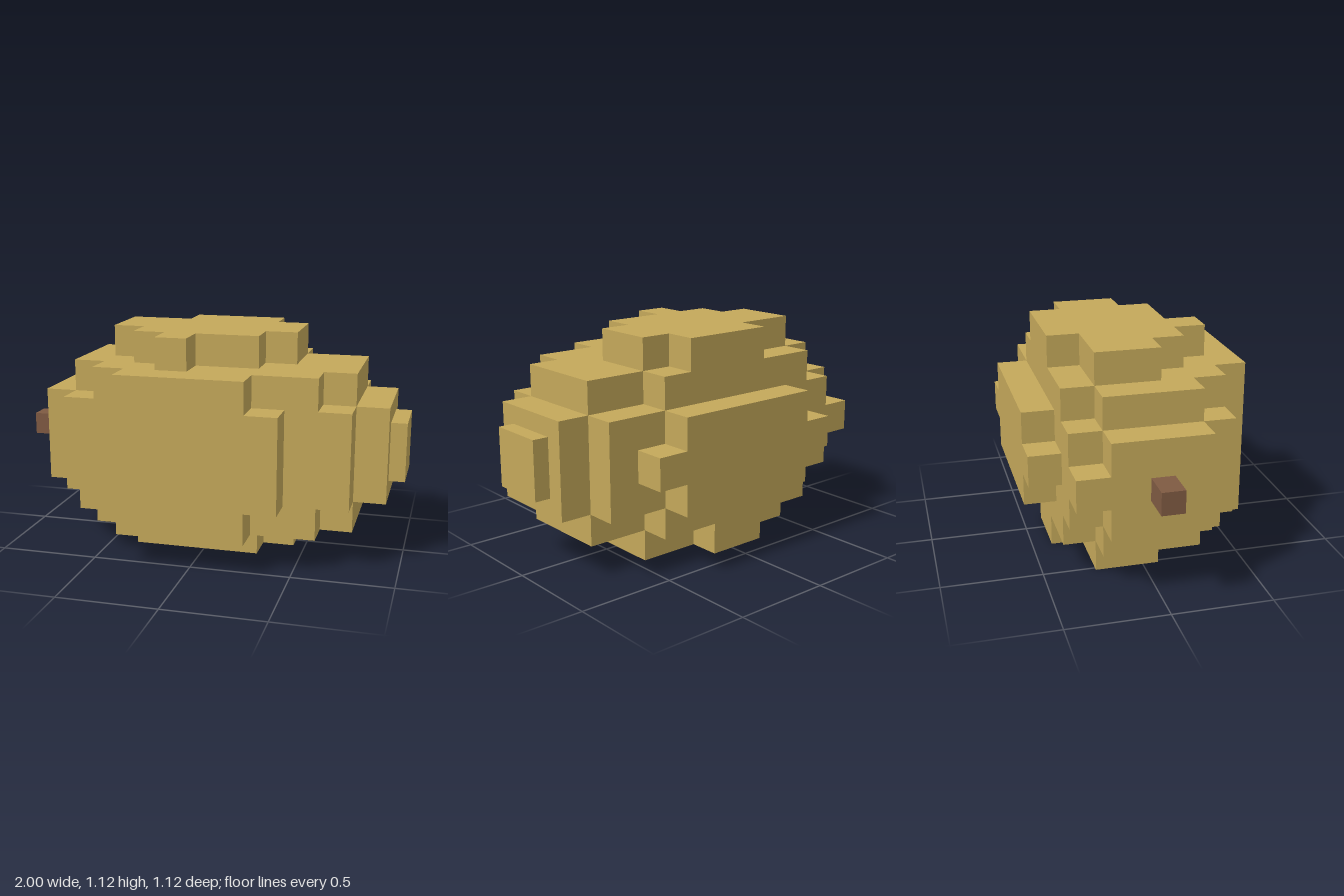
import * as THREE from 'three';

const CELL = 0.16;
const SIZE = [11, 7, 7];           // body grid in cells
const ORIGIN = [-0.84, 0, -0.56];  // low corner of the grid

// Each part is a list of cell ranges: [x0, x1, y0, y1, z0, z1]
const PARTS = {
  core: [
    [0, 11, 2, 5, 2, 5],
    [1, 10, 1, 6, 2, 5],
  ],
  frontShell: [
    [1, 10, 2, 5, 5, 6],
    [2, 9, 1, 6, 5, 6],
  ],
  frontPlate: [
    [3, 7, 1, 6, 6, 7],
    [7, 8, 2, 5, 6, 7],
  ],
  backShell: [
    [1, 10, 2, 5, 1, 2],
    [2, 8, 1, 6, 1, 2],
    [0, 1, 3, 4, 1, 2],
  ],
  backPlate: [
    [3, 8, 2, 5, 0, 1],
    [2, 9, 3, 4, 0, 1],
  ],
  topPlate: [
    [4, 7, 6, 7, 1, 2],
    [2, 8, 6, 7, 2, 4],
    [3, 7, 6, 7, 4, 5],
    [4, 5, 6, 7, 5, 6],
  ],
  bottomPlate: [
    [4, 6, 0, 1, 1, 2],
    [2, 8, 0, 1, 2, 4],
    [3, 7, 0, 1, 4, 5],
  ],
};

// Grid of part names, so faces between touching cells can be left out
function fillGrid() {
  const grid = new Map();
  for (const [name, ranges] of Object.entries(PARTS)) {
    for (const [x0, x1, y0, y1, z0, z1] of ranges) {
      for (let x = x0; x < x1; x++)
        for (let y = y0; y < y1; y++)
          for (let z = z0; z < z1; z++) grid.set([x, y, z].join(), name);
    }
  }
  return grid;
}

// Outer faces of all cells that belong to one part
function partGeometry(grid, name) {
  const positions = [], normals = [], indices = [];
  for (const [key, owner] of grid) {
    if (owner !== name) continue;
    const cell = key.split(',').map(Number);
    for (let axis = 0; axis < 3; axis++) {
      for (const side of [0, 1]) {
        const next = cell.slice();
        next[axis] += side ? 1 : -1;
        if (grid.has(next.join())) continue;
        const u = (axis + 1) % 3, v = (axis + 2) % 3;
        const start = positions.length / 3;
        for (const [a, b] of [[0, 0], [1, 0], [1, 1], [0, 1]]) {
          const p = cell.slice();
          p[axis] += side;
          p[u] += a;
          p[v] += b;
          positions.push(...p.map((c, i) => ORIGIN[i] + c * CELL));
          const n = [0, 0, 0];
          n[axis] = side ? 1 : -1;
          normals.push(...n);
        }
        const order = side ? [0, 1, 2, 0, 2, 3] : [0, 2, 1, 0, 3, 2];
        indices.push(...order.map((i) => start + i));
      }
    }
  }
  const geometry = new THREE.BufferGeometry();
  geometry.setAttribute('position', new THREE.Float32BufferAttribute(positions, 3));
  geometry.setAttribute('normal', new THREE.Float32BufferAttribute(normals, 3));
  geometry.setIndex(indices);
  return geometry;
}

export function createModel() {
  const model = new THREE.Group();
  const skin = new THREE.MeshStandardMaterial({ color: 0xc4a85a });
  skin.name = 'tan skin';
  const bark = new THREE.MeshStandardMaterial({ color: 0x7f5a42 });
  bark.name = 'brown stem';

  const add = (name, geometry, material) => {
    const mesh = new THREE.Mesh(geometry, material);
    mesh.name = name;
    model.add(mesh);
    return mesh;
  };

  // Stepped body
  const grid = fillGrid();
  for (const name of Object.keys(PARTS)) add(name, partGeometry(grid, name), skin);

  // Knob on one end, stem on the other, both on the long axis
  const midY = (SIZE[1] * CELL) / 2;
  add('endKnob', new THREE.BoxGeometry(0.08, 0.296, 0.296), skin).position.set(0.96, midY, 0);
  add('stem', new THREE.BoxGeometry(0.16, 0.112, 0.112), bark).position.set(-0.92, midY, 0);

  return model;
}
